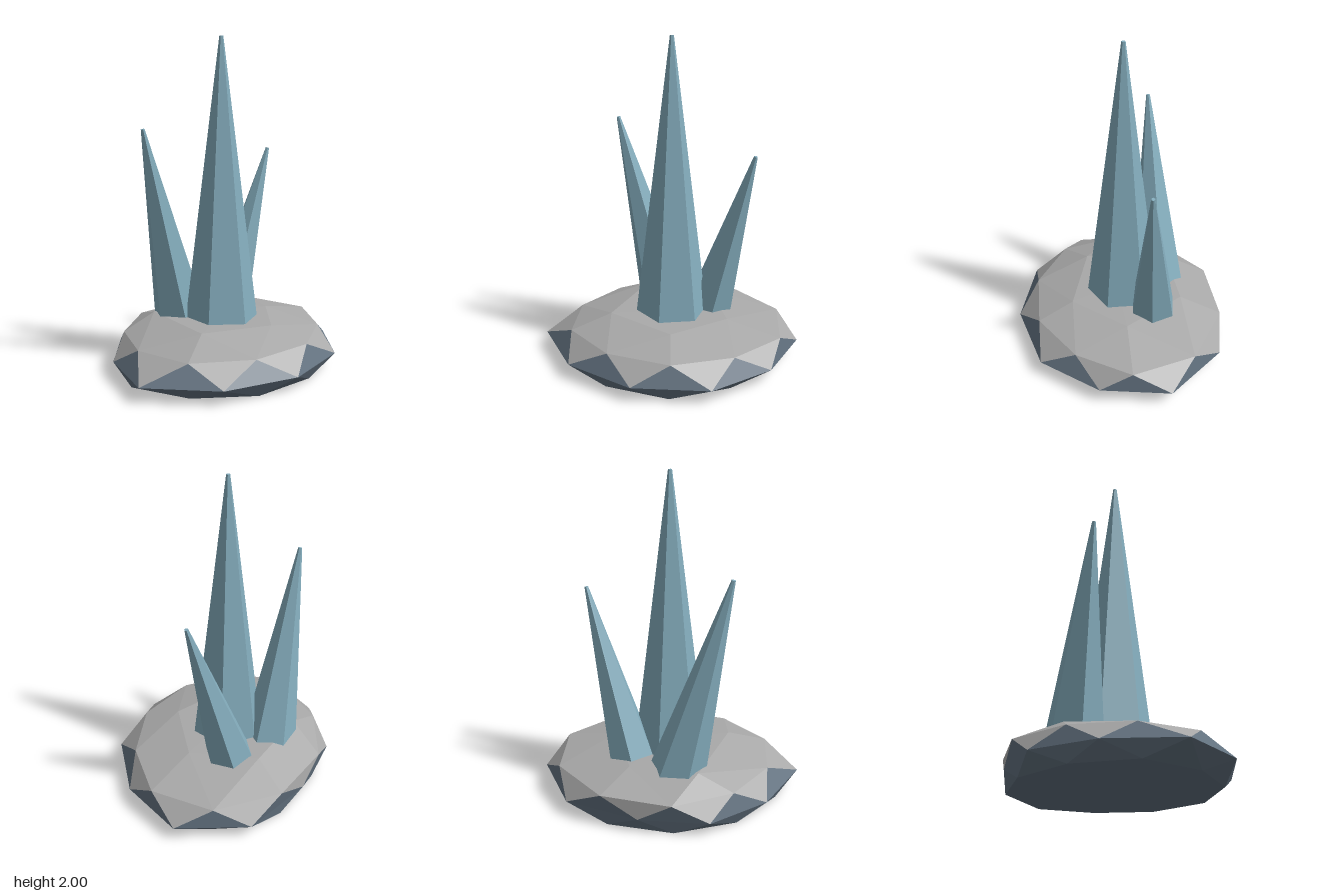
import * as THREE from 'three';

const makeMaterial = (color) => new THREE.MeshStandardMaterial({ color, flatShading: true });
const stoneMaterial = makeMaterial(0xa9a9a9);
const darkStoneMaterial = makeMaterial(0x62717f);
const crystalMaterial = makeMaterial(0x85aebe);

// Rings of the rock as [x, z], counterclockwise from above, starting at the front
const floorRing = [[0.2, 0.54], [0.5, 0.3], [0.6, -0.05], [0.55, -0.4], [0.2, -0.62],
  [-0.2, -0.58], [-0.52, -0.36], [-0.68, -0.02], [-0.52, 0.32], [-0.2, 0.54]];
const waistRing = [[0.45, 0.515], [0.71, 0.17], [0.775, -0.26], [0.47, -0.605], [0, -0.645],
  [-0.41, -0.55], [-0.67, -0.23], [-0.775, 0.195], [-0.45, 0.53], [0, 0.645]];
const shoulderRing = [[0.2, 0.515], [0.52, 0.3], [0.715, -0.03], [0.6, -0.42], [0.23, -0.645],
  [-0.2, -0.62], [-0.5, -0.37], [-0.625, -0.03], [-0.53, 0.32], [-0.2, 0.515]];
// Crown corners as [x, y, z]
const crown = [[0.12, 0.28, 0.295], [0.375, 0.275, -0.03], [0.14, 0.28, -0.4],
  [-0.28, 0.29, -0.36], [-0.32, 0.293, 0.175]];

function createFacets(name, positions, material) {
  const geometry = new THREE.BufferGeometry();
  geometry.setAttribute('position', new THREE.Float32BufferAttribute(positions.flat(), 3));
  geometry.computeVertexNormals();
  const mesh = new THREE.Mesh(geometry, material);
  mesh.name = name;
  return mesh;
}

// Faceted boulder: a squashed icosphere with a pale top and a dark, flat underside
function createRock() {
  const lift = (ring, y) => ring.map(([x, z]) => [x, y, z]);
  const floor = lift(floorRing, 0);
  const waist = lift(waistRing, 0.09);
  const shoulder = lift(shoulderRing, 0.205);
  const top = [0, 0.29, 0];
  const bottom = [0, 0, 0];
  const pale = [];
  const dark = [];

  for (let i = 0; i < 10; i++) {
    const j = (i + 1) % 10;
    dark.push(bottom, floor[j], floor[i]);
    dark.push(floor[i], floor[j], waist[i]);
    dark.push(waist[i], floor[j], waist[j]);
    dark.push(waist[i], waist[j], shoulder[j]);
    pale.push(waist[i], shoulder[j], shoulder[i]);
  }
  for (let k = 0; k < 5; k++) {
    const n = (k + 1) % 5;
    const mid = shoulder[2 * k + 1];
    pale.push(shoulder[2 * k], mid, crown[k]);
    pale.push(mid, shoulder[2 * n], crown[n]);
    pale.push(mid, crown[n], crown[k]);
    pale.push(crown[k], crown[n], top);
  }

  const rock = new THREE.Group();
  rock.name = 'rockBase';
  rock.add(
    createFacets('rockTop', pale, stoneMaterial),
    createFacets('rockUnderside', dark, darkStoneMaterial),
  );
  return rock;
}

// Six-sided spike from a foot point to a tip, sunk a little into the rock
function createCrystal(name, foot, tip, radius, spinDegrees) {
  const sink = 0.06;
  const tipRadius = 0.012;
  const start = new THREE.Vector3(...foot);
  const end = new THREE.Vector3(...tip);
  const axis = end.clone().sub(start);
  const visible = axis.length();
  axis.normalize();
  start.addScaledVector(axis, -sink);

  const length = visible + sink;
  const footRadius = radius + (radius - tipRadius) * sink / visible;
  const geometry = new THREE.CylinderGeometry(tipRadius, footRadius, length, 6);
  geometry.rotateY(THREE.MathUtils.degToRad(spinDegrees));
  const mesh = new THREE.Mesh(geometry, crystalMaterial);
  mesh.name = name;
  mesh.position.copy(start).add(end).multiplyScalar(0.5);
  mesh.quaternion.setFromUnitVectors(new THREE.Vector3(0, 1, 0), axis);
  return mesh;
}

export function createModel() {
  const group = new THREE.Group();
  group.name = 'crystalCluster';
  group.add(
    createRock(),
    createCrystal('mainCrystal', [0.005, 0.28, -0.035], [0.005, 2, -0.035], 0.225, 0),
    createCrystal('rightCrystal', [-0.138, 0.28, -0.28], [-0.428, 1.457, -0.235], 0.166, 37),
    createCrystal('leftCrystal', [0.208, 0.28, -0.21], [0.493, 1.3, -0.15], 0.146, 22),
  );
  return group;
}
